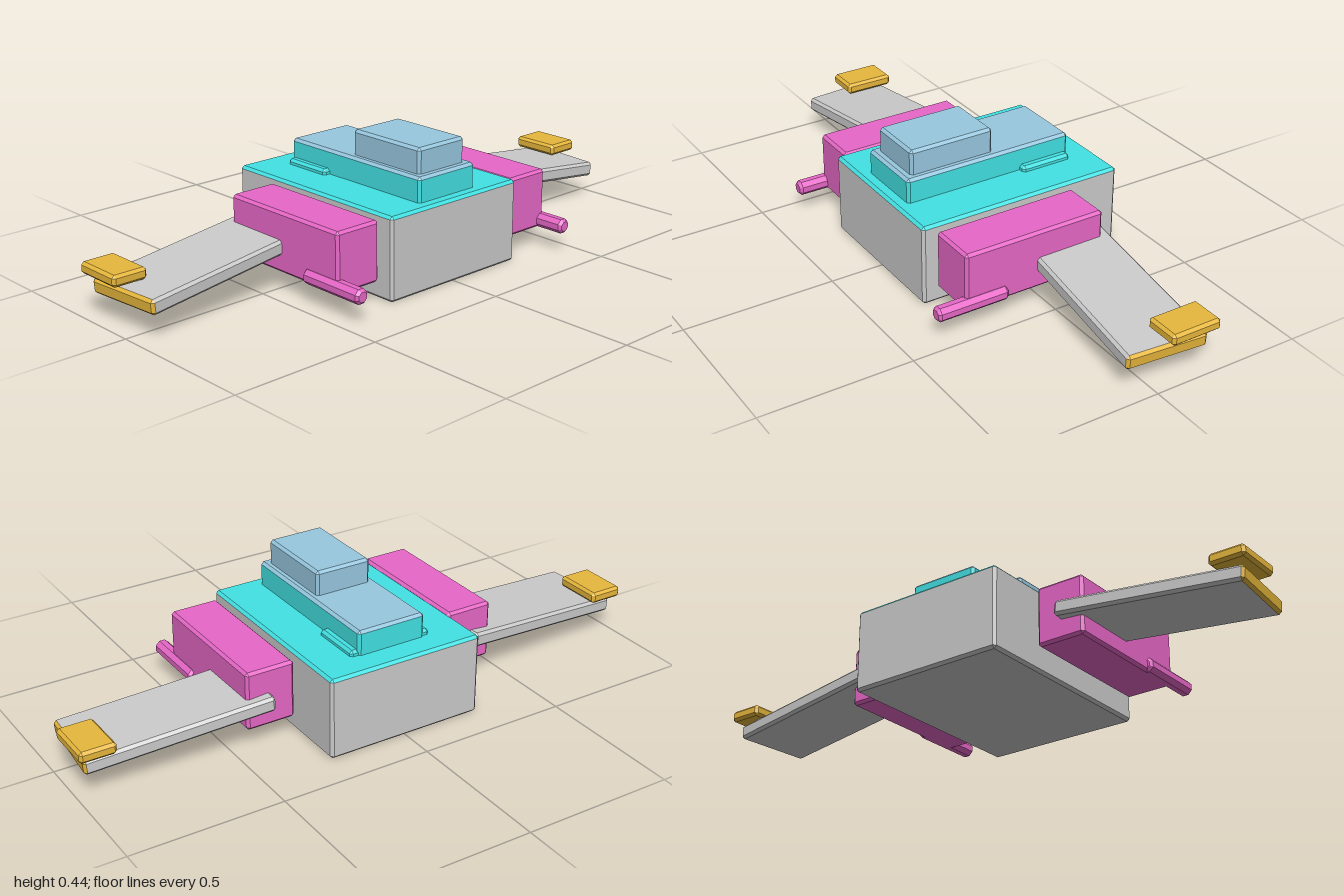
import * as THREE from 'three';
import { ConvexGeometry } from 'three/addons/geometries/ConvexGeometry.js';

const BEVEL = 0.009;
const paint = (color) => new THREE.MeshStandardMaterial({ color, flatShading: true });

// Box with chamfered edges
function chamferBox(w, h, d, b = BEVEL) {
  const half = [w / 2, h / 2, d / 2];
  const points = [];
  for (const sx of [-1, 1]) for (const sy of [-1, 1]) for (const sz of [-1, 1]) {
    for (let full = 0; full < 3; full++) {
      const [x, y, z] = half.map((v, i) => (i === full ? v : v - b));
      points.push(new THREE.Vector3(sx * x, sy * y, sz * z));
    }
  }
  return new ConvexGeometry(points);
}

// Split off the faces that look along an axis, so they can take another colour
function splitCap(geometry, axis) {
  const pos = geometry.attributes.position;
  const parts = [[], []];
  const tri = new THREE.Triangle();
  const normal = new THREE.Vector3();
  for (let i = 0; i < pos.count; i += 3) {
    tri.setFromAttributeAndIndices(pos, i, i + 1, i + 2);
    tri.getNormal(normal);
    const target = parts[normal.dot(axis) > 0.3 ? 1 : 0];
    for (const p of [tri.a, tri.b, tri.c]) target.push(p.x, p.y, p.z);
  }
  return parts.map((list) => {
    const g = new THREE.BufferGeometry();
    g.setAttribute('position', new THREE.Float32BufferAttribute(list, 3));
    g.computeVertexNormals();
    return g;
  });
}

export function createModel() {
  const model = new THREE.Group();
  model.name = 'hoverCraft';
  const grey = paint(0xcccccc);
  const cyan = paint(0x43e2e4);
  const blue = paint(0x98c8e0);
  const magenta = paint(0xe868c8);
  const gold = paint(0xe8b83c);

  function addMesh(parent, name, geometry, material) {
    const mesh = new THREE.Mesh(geometry, material);
    mesh.name = name;
    parent.add(mesh);
    return mesh;
  }

  // Chamfered block given by its limits on each axis
  function block(name, [x0, x1], [y0, y1], [z0, z1], material) {
    const mesh = addMesh(model, name, chamferBox(x1 - x0, y1 - y0, z1 - z0), material);
    mesh.position.set((x0 + x1) / 2, (y0 + y1) / 2, (z0 + z1) / 2);
    return mesh;
  }

  // Chamfered block with one end in a second colour
  function cappedBlock(name, size, axis, material, capMaterial) {
    const group = new THREE.Group();
    group.name = name;
    const [main, cap] = splitCap(chamferBox(...size), axis);
    addMesh(group, name + 'Sides', main, material);
    addMesh(group, name + 'Cap', cap, capMaterial);
    model.add(group);
    return group;
  }

  const up = new THREE.Vector3(0, 1, 0);

  // Hull and stacked upper decks
  cappedBlock('hull', [0.54, 0.272, 0.715], up, grey, cyan).position.set(0, 0.136, -0.03);
  cappedBlock('upperDeck', [0.24, 0.09, 0.592], up, cyan, blue).position.set(0, 0.308, -0.006);
  block('cabin', [-0.098, 0.098], [0.344, 0.435], [-0.03, 0.265], blue);
  block('rearPlate', [-0.144, 0.144], [0.254, 0.29], [-0.296, -0.118], cyan);

  // Octagonal barrel profile with chamfered ends
  const r = 0.0235 / Math.cos(Math.PI / 8);
  const barrelProfile = [
    [0, -0.1225], [r - BEVEL, -0.1225], [r, -0.1135],
    [r, 0.1135], [r - BEVEL, 0.1225], [0, 0.1225],
  ].map(([x, y]) => new THREE.Vector2(x, y));

  for (const s of [1, -1]) {
    const side = s > 0 ? 'left' : 'right';
    const span = (a, b) => (s > 0 ? [a, b] : [-b, -a]);

    // Side pod
    block(side + 'Pod', span(0.286, 0.452), [0.064, 0.26], [-0.202, 0.29], magenta);

    // Barrel under the pod
    const barrelGeometry = new THREE.LatheGeometry(barrelProfile, 8)
      .rotateY(Math.PI / 8).rotateX(Math.PI / 2);
    addMesh(model, side + 'Barrel', barrelGeometry, magenta).position.set(s * 0.444, 0.0875, 0.2675);

    // Wing, drooping and swept towards the front, with a gold end
    const wing = cappedBlock(side + 'Wing', [0.612, 0.049, 0.27],
      new THREE.Vector3(s, 0, 0), grey, gold);
    wing.position.set(s * 0.664, 0.128, -0.08);
    wing.rotation.set(0, -s * 0.084, -s * 0.084);

    // Block above the wing tip
    block(side + 'TipBlock', span(0.882, 1.0), [0.138, 0.176], [-0.217, -0.045], gold);
  }

  return model;
}
